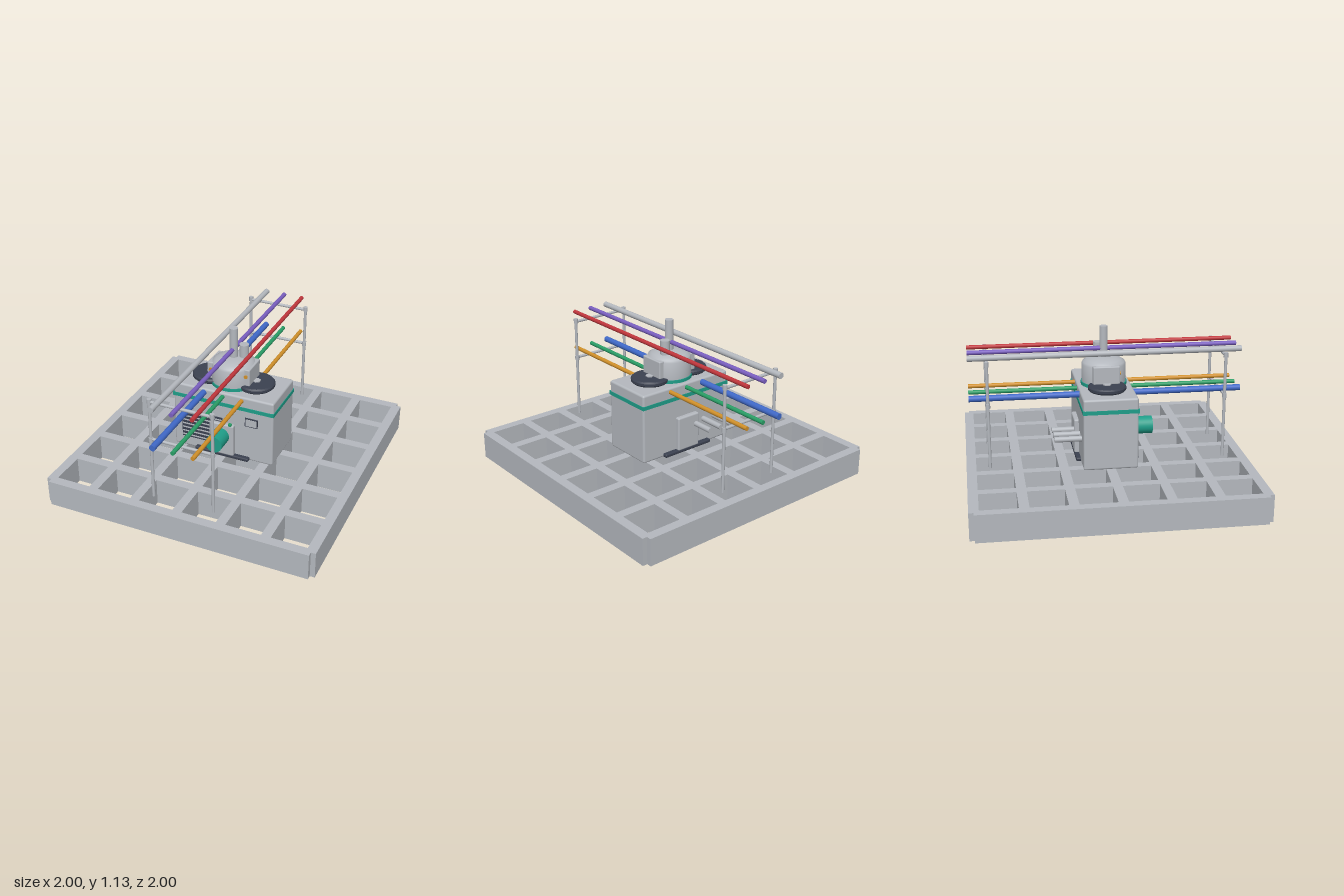
import * as THREE from 'three';
import { RoundedBoxGeometry } from 'three/addons/geometries/RoundedBoxGeometry.js';
import { toCreasedNormals } from 'three/addons/utils/BufferGeometryUtils.js';

const mat = (name, color) => {
  const m = new THREE.MeshStandardMaterial({ color });
  m.name = name;
  return m;
};

export function createModel() {
  const grey = mat('metalGrey', 0xb4b8be);
  const teal = mat('teal', 0x1f9e89);
  const dark = mat('darkSlate', 0x3b4150);
  const red = mat('red', 0xc0363c);
  const purple = mat('purple', 0x7a5fc0);
  const orange = mat('orange', 0xd0902a);
  const green = mat('green', 0x2a9d66);
  const blue = mat('blue', 0x4069c8);

  const model = new THREE.Group();
  model.name = 'pumpStation';

  const add = (name, geo, material, x, y, z, parent = model) => {
    const mesh = new THREE.Mesh(geo, material);
    mesh.name = name;
    mesh.position.set(x, y, z);
    parent.add(mesh);
    return mesh;
  };
  const box = (w, h, d) => new THREE.BoxGeometry(w, h, d);
  const rbox = (w, h, d, r) => new RoundedBoxGeometry(w, h, d, 3, r);
  const cyl = (r, h, n = 24) => new THREE.CylinderGeometry(r, r, h, n);
  const cylZ = (r, h, n = 24) => cyl(r, h, n).rotateX(Math.PI / 2);
  const cylX = (r, h, n = 24) => cyl(r, h, n).rotateZ(Math.PI / 2);
  const lathe = (pts, n = 48) => toCreasedNormals(
    new THREE.LatheGeometry(pts.map(([x, y]) => new THREE.Vector2(x, y)), n), 0.6);
  const group = (name) => {
    const g = new THREE.Group();
    g.name = name;
    model.add(g);
    return g;
  };

  // Waffle grid base with notched corners and 6 x 6 open cells
  const top = 0.195, pitch = 0.322, half = 0.034, a = 1, b = 3 * pitch;
  const outline = new THREE.Shape([
    [-b, -a], [b, -a], [b, -b], [a, -b], [a, b], [b, b],
    [b, a], [-b, a], [-b, b], [-a, b], [-a, -b], [-b, -b],
  ].map(([x, y]) => new THREE.Vector2(x, y)));
  for (let i = -3; i < 3; i++) {
    for (let j = -3; j < 3; j++) {
      const x0 = i * pitch + half, x1 = (i + 1) * pitch - half;
      const y0 = j * pitch + half, y1 = (j + 1) * pitch - half;
      outline.holes.push(new THREE.Path([
        new THREE.Vector2(x0, y0), new THREE.Vector2(x0, y1),
        new THREE.Vector2(x1, y1), new THREE.Vector2(x1, y0),
      ]));
    }
  }
  const baseGeo = new THREE.ExtrudeGeometry(outline, { depth: top, bevelEnabled: false });
  add('gridBase', baseGeo.rotateX(-Math.PI / 2), grey, 0, 0, 0);

  // Cabinet
  const cabinet = group('cabinet');
  add('cabinetBody', rbox(0.77, 0.515, 0.385, 0.015), grey, 0, 0.4525, 0, cabinet);
  add('cabinetBand', box(0.778, 0.028, 0.393), teal, 0, 0.617, 0, cabinet);

  // Louvred vent
  add('ventPanel', box(0.32, 0.225, 0.008), dark, -0.16, 0.39, 0.194, cabinet);
  for (let i = 0; i < 7; i++) {
    add('ventSlat', box(0.31, 0.009, 0.012), grey, -0.16, 0.295 + i * 0.0315, 0.196, cabinet);
  }

  // Small display with dark frame
  add('displayFrame', box(0.095, 0.066, 0.014), dark, 0.223, 0.519, 0.196, cabinet);
  add('displayFace', box(0.083, 0.054, 0.004), grey, 0.223, 0.519, 0.203, cabinet);

  // Front and back cover plates with dark foot rails
  for (const s of [1, -1]) {
    add('coverPlate', rbox(0.19, 0.255, 0.05, 0.012), grey, 0, 0.343, s * 0.2, cabinet);
    add('footRail', rbox(0.42, 0.028, 0.05, 0.01), dark, 0, 0.21, s * 0.2, cabinet);
  }

  // Front motor and indicator lamp
  add('motor', cylZ(0.064, 0.15, 32), teal, 0, 0.375, 0.28, cabinet);
  add('indicatorLamp', cyl(0.014, 0.014, 16), green, 0.066, 0.474, 0.215, cabinet);

  // Rear connection pipes
  for (const x of [-0.26, -0.163, -0.065]) {
    add('rearPipe', cylZ(0.02, 0.2), grey, x, 0.39, -0.283, cabinet);
  }

  // Domed vessel on a teal gasket
  const vessel = group('vessel');
  add('gasket', cyl(0.164, 0.026, 48), teal, 0, 0.72, 0, vessel);
  add('dome', lathe([
    [0.158, 0.73], [0.158, 0.86], [0.15, 0.876], [0.125, 0.892],
    [0.09, 0.904], [0.045, 0.91], [0, 0.912],
  ]), grey, 0, 0, 0, vessel);
  add('mainStack', cyl(0.03, 0.25), grey, 0, 1.007, 0, vessel);
  add('sideStack', cyl(0.034, 0.13), grey, 0.065, 0.937, -0.034, vessel);

  // Side brackets with amber lamps, and wheel-like covers with hex bolts
  const coverProfile = [
    [0, 0], [0.125, 0], [0.135, 0.01], [0.135, 0.028], [0.125, 0.038], [0, 0.038],
  ];
  for (const s of [1, -1]) {
    add('sideBracket', rbox(0.045, 0.13, 0.19, 0.008), grey, s * 0.14, 0.81, 0, vessel);
    add('amberLamp', cylZ(0.014, 0.008, 16), orange, s * 0.135, 0.82, 0.097, vessel);
    add('roundCover', lathe(coverProfile), dark, s * 0.175, 0.711, 0, vessel);
    add('hexBolt', cyl(0.03, 0.012, 6), grey, s * 0.178, 0.75, 0, vessel);
  }

  // Pipe support frames
  for (const z of [0.835, -0.835]) {
    const frame = group('pipeFrame');
    for (const x of [-0.225, 0.225]) {
      add('framePost', cyl(0.011, 0.765, 16), grey, x, 0.5725, z, frame);
      for (const y of [0.947, 0.65]) {
        add('frameJoint', cyl(0.016, 0.034, 16), grey, x, y, z, frame);
      }
    }
    for (const y of [0.942, 0.655]) {
      add('crossBar', cylX(0.011, 0.46, 16), grey, 0, y, z, frame);
    }
  }

  // Six long service pipes
  const pipes = [
    ['greyPipe', grey, -0.147, 0.97, 0.021],
    ['purplePipe', purple, 0, 0.97, 0.016],
    ['redPipe', red, 0.145, 0.97, 0.015],
    ['bluePipe', blue, -0.147, 0.68, 0.022],
    ['greenPipe', green, 0, 0.68, 0.015],
    ['orangePipe', orange, 0.145, 0.68, 0.015],
  ];
  for (const [name, material, x, y, r] of pipes) {
    add(name, cylZ(r, 1.93), material, x, y, 0);
  }

  return model;
}
